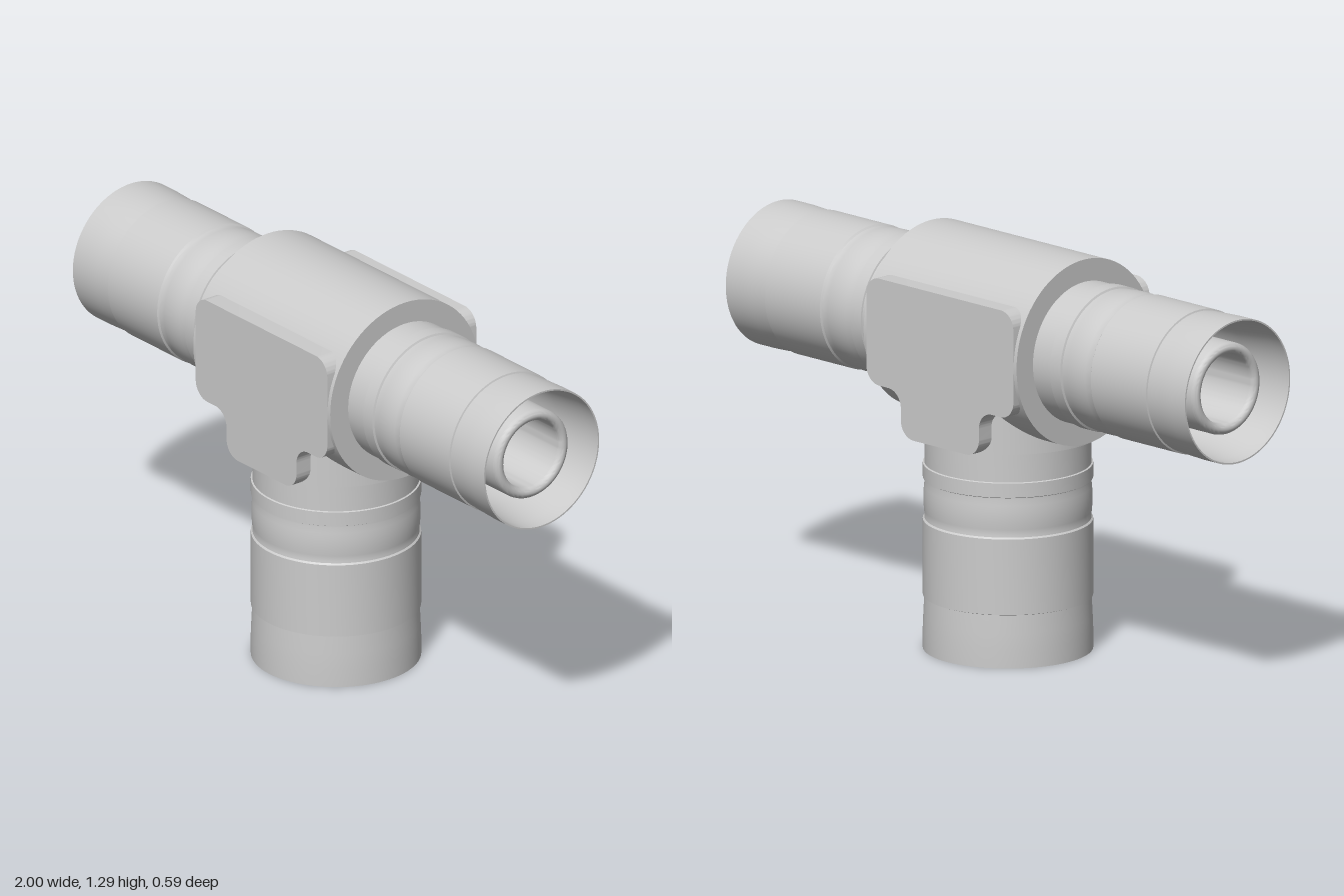
import * as THREE from 'three';
import { toCreasedNormals } from 'three/addons/utils/BufferGeometryUtils.js';

const AXIS_Y = 1;      // height of the horizontal run
const BODY_R = 0.294;
const material = new THREE.MeshStandardMaterial({ color: 0xcccccc, side: THREE.DoubleSide });

function lathe(name, points) {
  const profile = points.map(([r, y]) => new THREE.Vector2(r, y));
  const geometry = toCreasedNormals(new THREE.LatheGeometry(profile, 80), 0.5);
  const mesh = new THREE.Mesh(geometry, material);
  mesh.name = name;
  return mesh;
}

// Hollow press end: mouth at y = 0, pointing up towards the tee centre.
// R is the sleeve radius, bore and tube the inner pipe radii.
function pressEnd(name, R, bore, tube, innerEnd) {
  const tip = 0.04;
  const half = (tube - bore) / 2;
  const points = [[bore, innerEnd]];
  // rounded nose of the inner pipe
  for (let i = 0; i <= 8; i++) {
    const a = Math.PI * (1 + i / 8);
    points.push([bore + half + half * Math.cos(a), tip + half + half * Math.sin(a)]);
  }
  // socket floor and inner wall
  points.push([tube, 0.415], [R - 0.025, 0.415], [R - 0.022, 0.17], [R - 0.007, 0.05], [R - 0.005, 0]);
  // flared mouth
  points.push([R, 0], [R, 0.06], [R - 0.002, 0.11], [R - 0.005, 0.168]);
  // straight sleeve
  points.push([R, 0.17], [R, 0.41], [R - 0.005, 0.415]);
  // shallow rounded bulge
  for (let i = 0; i <= 6; i++) {
    const u = i / 6;
    points.push([R - 0.006 + 0.004 * Math.sin(Math.PI * u), 0.42 + 0.115 * u]);
  }
  // retaining ring and neck
  points.push([R - 0.006, 0.54], [R, 0.543], [R, 0.588], [R - 0.005, 0.59], [R - 0.005, 0.7]);
  return lathe(name, points);
}

// Flat side pad with a narrowed lower tab
function padGeometry() {
  const s = new THREE.Shape();
  const w = 0.32, top = 1.175, step = 0.835, tab = 0.17, low = 0.688, r = 0.055;
  s.moveTo(-w + r, top);
  s.lineTo(w - r, top);
  s.absarc(w - r, top - r, r, Math.PI / 2, 0, true);
  s.lineTo(w, step + r);
  s.absarc(w - r, step + r, r, 0, -Math.PI / 2, true);
  s.lineTo(tab + r, step);
  s.absarc(tab + r, step - r, r, Math.PI / 2, Math.PI, false);
  s.lineTo(tab, low + r);
  s.absarc(tab - r, low + r, r, 0, -Math.PI / 2, true);
  s.lineTo(-tab + r, low);
  s.absarc(-tab + r, low + r, r, -Math.PI / 2, -Math.PI, true);
  s.lineTo(-tab, step - r);
  s.absarc(-tab - r, step - r, r, 0, Math.PI / 2, false);
  s.lineTo(-w + r, step);
  s.absarc(-w + r, step + r, r, -Math.PI / 2, -Math.PI, true);
  s.lineTo(-w, top - r);
  s.absarc(-w + r, top - r, r, Math.PI, Math.PI / 2, true);
  const geometry = new THREE.ExtrudeGeometry(s, { depth: 0.095, bevelEnabled: false, curveSegments: 10 });
  geometry.translate(0, 0, 0.2);
  return toCreasedNormals(geometry, 0.5);
}

export function createModel() {
  const group = new THREE.Group();
  group.name = 'pipeTee';

  // Central body: horizontal barrel and the collar above the branch
  const barrel = lathe('bodyBarrel', [[0.2, -0.333], [BODY_R, -0.333], [BODY_R, 0.333], [0.2, 0.333]]);
  barrel.rotation.z = Math.PI / 2;
  barrel.position.y = AXIS_Y;
  group.add(barrel);
  group.add(lathe('branchCollar', [[0.22, 0.688], [BODY_R, 0.688], [BODY_R, AXIS_Y]]));

  // Front and back pads
  const pad = padGeometry();
  for (const [name, turn] of [['frontPad', 0], ['backPad', Math.PI]]) {
    const mesh = new THREE.Mesh(pad, material);
    mesh.name = name;
    mesh.rotation.y = turn;
    group.add(mesh);
  }

  // Run ends, left and right
  for (const [name, side] of [['leftRunEnd', 1], ['rightRunEnd', -1]]) {
    const end = pressEnd(name, 0.228, 0.11, 0.145, 1);
    end.rotation.z = side * Math.PI / 2;
    end.position.set(side, AXIS_Y, 0);
    group.add(end);
  }

  // Branch end pointing down
  group.add(pressEnd('branchEnd', 0.262, 0.145, 0.182, 0.89));
  return group;
}
